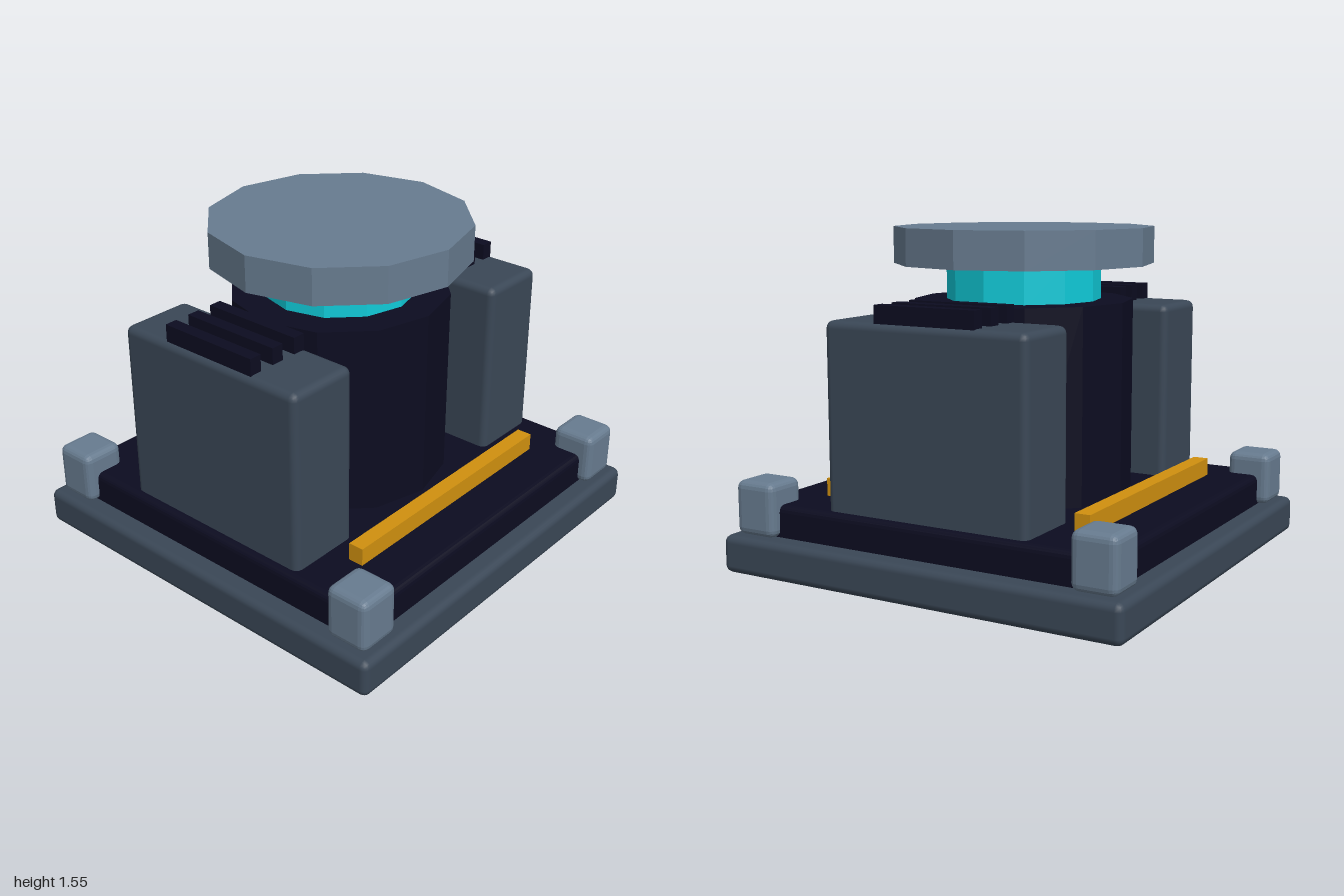
import * as THREE from 'three';
import { RoundedBoxGeometry } from 'three/addons/geometries/RoundedBoxGeometry.js';

function material(name, color, flatShading = false) {
  const m = new THREE.MeshStandardMaterial({ color, flatShading });
  m.name = name;
  return m;
}

export function createModel() {
  const model = new THREE.Group();
  model.name = 'reactorPlatform';
  const slate = material('darkSlate', 0x3a4756);
  const navy = material('nearBlackNavy', 0x0c0c20);
  const steel = material('blueSteel', 0x677b8f);
  const cyan = material('cyanGlow', 0x10cad8);
  const amber = material('amber', 0xd0900f);
  // The faceted drums stay flat because each side has its own normals
  [navy, steel, cyan].forEach((m) => { m.flatShading = true; });

  function add(name, geometry, mat, x, y, z) {
    const mesh = new THREE.Mesh(geometry, mat);
    mesh.name = name;
    mesh.position.set(x, y, z);
    model.add(mesh);
  }
  // Box between two heights, rounded when a bevel is given
  function box(name, mat, w, d, y0, y1, x = 0, z = 0, bevel = 0) {
    const h = y1 - y0;
    const geometry = bevel
      ? new RoundedBoxGeometry(w, h, d, 2, bevel)
      : new THREE.BoxGeometry(w, h, d);
    add(name, geometry, mat, x, (y0 + y1) / 2, z);
  }
  function drum(name, mat, r, y0, y1) {
    add(name, new THREE.CylinderGeometry(r, r, y1 - y0, 12), mat, 0, (y0 + y1) / 2, 0);
  }

  // Stepped base
  box('basePlate', slate, 2, 2, 0, 0.175, 0, 0, 0.035);
  box('deck', navy, 1.8, 1.8, 0.14, 0.32, 0, 0, 0.03);

  // Central stack
  drum('mainDrum', navy, 0.51, 0.3, 1.215);
  drum('glowingCore', cyan, 0.36, 1.2, 1.385);
  drum('cap', steel, 0.605, 1.38, 1.55);

  for (const s of [-1, 1]) {
    // Side housings with vent fins on top
    box('sideHousing', slate, 0.36, 1.01, 0.26, 1.163, s * 0.68, 0, 0.035);
    for (const x of [0.55, 0.68, 0.81]) {
      box('ventFin', navy, 0.06, 0.5, 1.14, 1.24, s * x, 0);
    }
    // Amber strips at front and back
    box('lightStrip', amber, 1.28, 0.073, 0.315, 0.403, 0, s * 0.643);
    // Corner blocks
    for (const t of [-1, 1]) {
      box('cornerBlock', steel, 0.21, 0.21, 0.175, 0.425, s * 0.85, t * 0.85, 0.035);
    }
  }
  return model;
}
